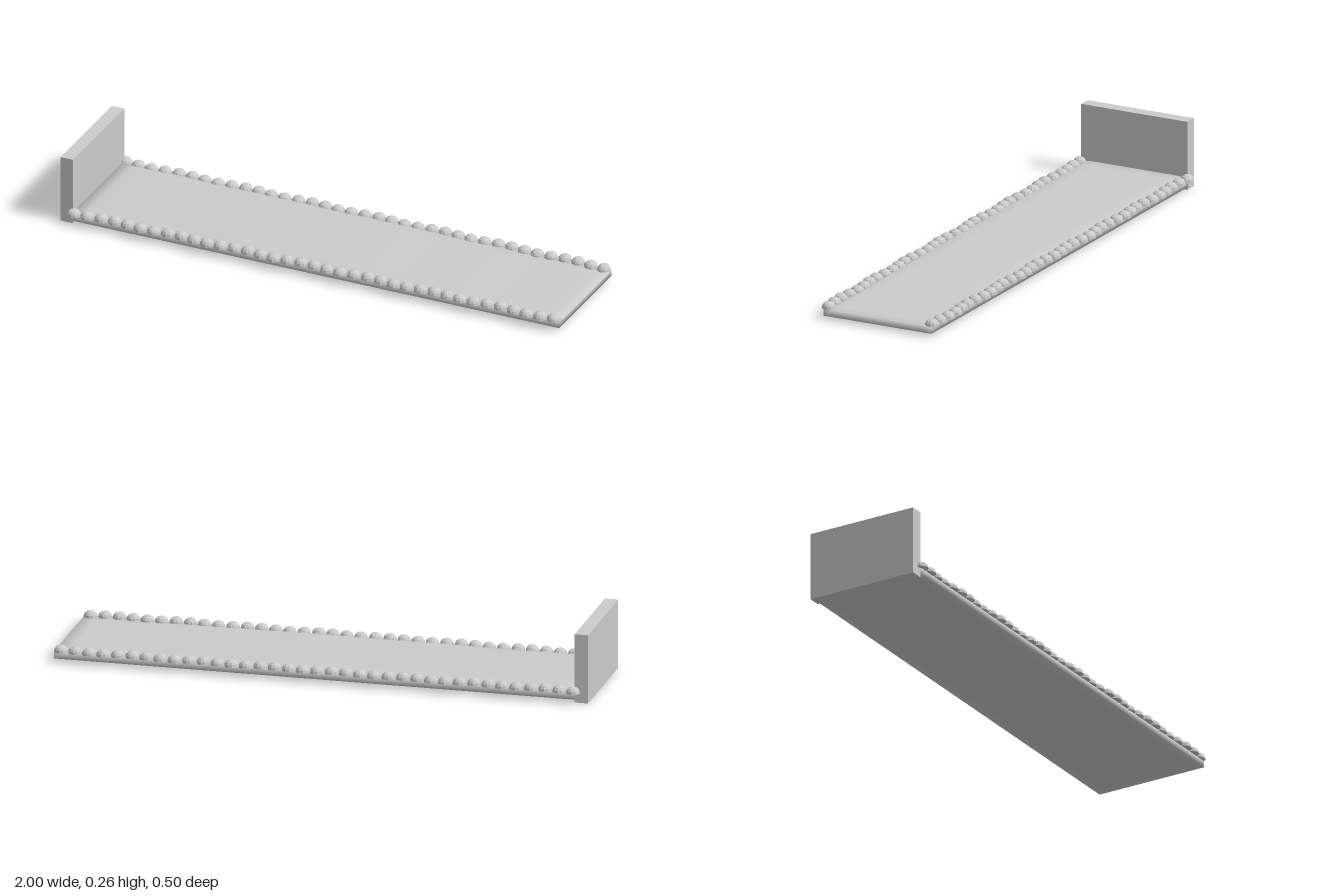
import * as THREE from 'three';
import { mergeVertices } from 'three/addons/utils/BufferGeometryUtils.js';

const material = new THREE.MeshStandardMaterial({ color: 0xcccccc });
const stoneMaterial = new THREE.MeshStandardMaterial({ color: 0xcccccc, flatShading: true });

function add(parent, name, geometry, mat, x, y, z) {
  const mesh = new THREE.Mesh(geometry, mat);
  mesh.name = name;
  mesh.position.set(x, y, z);
  parent.add(mesh);
  return mesh;
}

// Thin bed with softened shading and a slight swell along its top
function bedGeometry() {
  let g = new THREE.BoxGeometry(1.95, 0.026, 0.446, 40, 1, 12);
  g.deleteAttribute('uv');
  g.deleteAttribute('normal');
  g = mergeVertices(g);
  const p = g.attributes.position;
  for (let i = 0; i < p.count; i++) {
    if (p.getY(i) < 0) continue;
    const x = p.getX(i);
    const inward = THREE.MathUtils.smoothstep(0.223 - Math.abs(p.getZ(i)), 0, 0.04);
    const rise = THREE.MathUtils.smoothstep(0.975 - x, 0, 0.9);
    p.setY(i, p.getY(i) + inward * rise * (0.011 + 0.001 * Math.sin(x * 14)));
  }
  g.computeVertexNormals();
  return g;
}

export function createModel() {
  const model = new THREE.Group();
  model.name = 'edgedPath';

  // Upright end wall
  add(model, 'endWall', new THREE.BoxGeometry(0.05, 0.26, 0.438), material, -0.975, 0.13, 0);

  // Path bed
  add(model, 'pathBed', bedGeometry(), material, 0.025, 0.025, 0);

  // Half-round edging stones, closed underneath
  const dome = new THREE.LatheGeometry(
    [[0, 0], [0.026, 0], [0.0245, 0.01], [0.0195, 0.018], [0.011, 0.0235], [0, 0.025]]
      .map(([r, y]) => new THREE.Vector2(r, y)), 10);
  const count = 37;
  for (const side of [1, -1]) {
    const row = new THREE.Group();
    row.name = side > 0 ? 'frontEdging' : 'backEdging';
    for (let i = 0; i < count; i++) {
      const x = -0.945 + (1.92 * i) / (count - 1);
      const z = side * 0.217 + 0.005 * Math.sin(i * 1.3 + side);
      const stone = add(row, 'edgingStone', dome, stoneMaterial, x, 0.036, z);
      stone.rotation.y = i * 1.9;
    }
    model.add(row);
  }
  return model;
}
